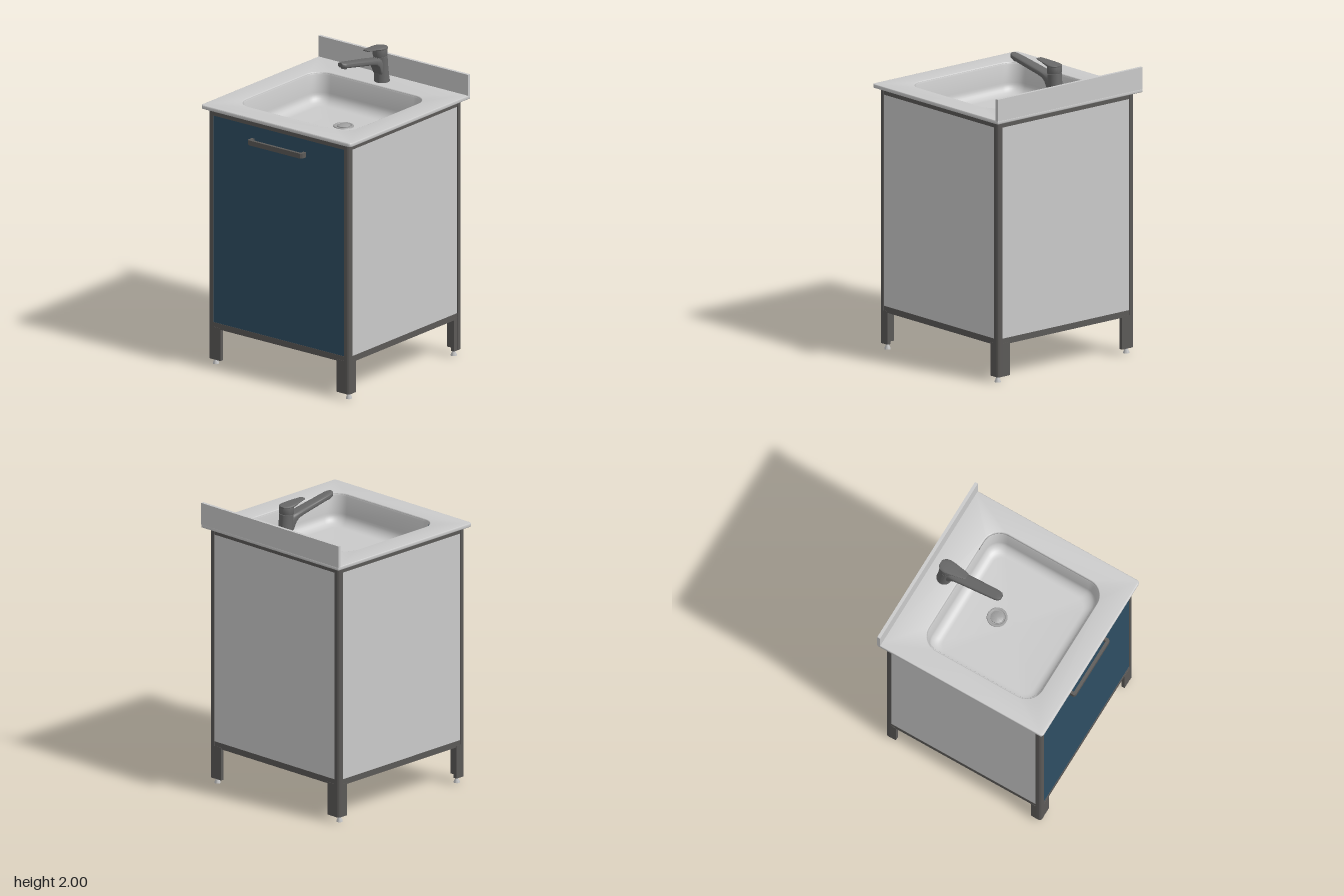
import * as THREE from 'three';
import { toCreasedNormals } from 'three/addons/utils/BufferGeometryUtils.js';

const paint = (name, color) => Object.assign(new THREE.MeshStandardMaterial({ color }), { name });

// Skin through rings of points, each running anticlockwise about the direction of travel
function loft(rings, capStart = true, capEnd = true) {
  const n = rings[0].length, pos = [];
  const tri = (...pts) => pts.forEach(p => pos.push(p.x, p.y, p.z));
  const centre = r => r.reduce((s, p) => s.add(p), new THREE.Vector3()).divideScalar(n);
  const last = rings[rings.length - 1], c0 = centre(rings[0]), c1 = centre(last);
  for (let j = 0; j < n; j++) {
    const k = (j + 1) % n;
    for (let i = 0; i + 1 < rings.length; i++) {
      const a = rings[i], b = rings[i + 1];
      tri(a[j], a[k], b[k]);
      tri(a[j], b[k], b[j]);
    }
    if (capStart) tri(c0, rings[0][k], rings[0][j]);
    if (capEnd) tri(c1, last[j], last[k]);
  }
  const g = new THREE.BufferGeometry();
  g.setAttribute('position', new THREE.Float32BufferAttribute(pos, 3));
  return toCreasedNormals(g, 0.7);
}

// Rounded rectangle outline with separate radii for the near (low y) and far corners
function roundedRect(Type, x0, x1, y0, y1, rLow, rHigh = rLow) {
  const s = new Type();
  s.moveTo(x0 + rLow, y0).lineTo(x1 - rLow, y0);
  s.absarc(x1 - rLow, y0 + rLow, rLow, -Math.PI / 2, 0);
  s.lineTo(x1, y1 - rHigh).absarc(x1 - rHigh, y1 - rHigh, rHigh, 0, Math.PI / 2);
  s.lineTo(x0 + rHigh, y1).absarc(x0 + rHigh, y1 - rHigh, rHigh, Math.PI / 2, Math.PI);
  s.lineTo(x0, y0 + rLow).absarc(x0 + rLow, y0 + rLow, rLow, Math.PI, Math.PI * 1.5);
  return s;
}

// Extrude a plan (shape y = -z) upwards from height y
function extrudeUp(shape, y, height, options = {}) {
  const g = new THREE.ExtrudeGeometry(shape, { depth: height, bevelEnabled: false, curveSegments: 10, ...options });
  return toCreasedNormals(g.rotateX(-Math.PI / 2).translate(0, y, 0), 0.6);
}

export function createModel() {
  const root = new THREE.Group();
  root.name = 'washbasinCabinet';
  const light = paint('light grey', 0xcacaca);
  const frame = paint('frame grey', 0x5b5957);
  const blue = paint('door blue', 0x2e4d63);
  const metal = paint('tap metal', 0x686868);
  const steel = paint('drain steel', 0xa0a0a0);

  const add = (name, geometry, material, parent = root) => {
    const m = new THREE.Mesh(geometry, material);
    m.name = name;
    parent.add(m);
    return m;
  };
  const box = (name, x0, x1, y0, y1, z0, z1, material, parent) =>
    add(name, new THREE.BoxGeometry(x1 - x0, y1 - y0, z1 - z0)
      .translate((x0 + x1) / 2, (y0 + y1) / 2, (z0 + z1) / 2), material, parent);

  // Corner posts with one rounded outer edge, angle legs and adjustable feet
  const E = 0.575, I = 0.536;
  const postPlan = new THREE.Shape();
  postPlan.moveTo(I, -I).lineTo(I, -E).lineTo(E - 0.02, -E);
  postPlan.absarc(E - 0.02, -E + 0.02, 0.02, -Math.PI / 2, 0);
  postPlan.lineTo(E, -I).closePath();
  const postGeo = extrudeUp(postPlan, 0.04, 1.684);
  const footGeo = toCreasedNormals(new THREE.LatheGeometry(
    [[0, 0], [0.02, 0], [0.02, 0.006], [0.011, 0.026], [0.011, 0.045]]
      .map(p => new THREE.Vector2(...p)), 20), 0.6);
  for (let k = 0; k < 4; k++) add('cornerPost', postGeo, frame).rotation.y = k * Math.PI / 2;
  for (const sx of [-1, 1]) for (const sz of [-1, 1]) {
    const leg = new THREE.Group();
    leg.name = 'leg';
    root.add(leg);
    const span = (s, a, b) => s > 0 ? [a, b] : [-b, -a];
    box('legWidePlate', ...span(sx, 0.474, I), 0.04, 0.26, ...span(sz, 0.55, E - 0.001), frame, leg);
    box('legSidePlate', ...span(sx, 0.55, E - 0.001), 0.04, 0.26, ...span(sz, 0.5, I), frame, leg);
    add('foot', footGeo, light, leg).position.set(sx * 0.543, 0, sz * 0.535);
  }

  // Four sides: rails above and below a panel; the front one is the door
  ['door', 'leftPanel', 'backPanel', 'rightPanel'].forEach((name, k) => {
    const side = new THREE.Group();
    side.name = name + 'Side';
    side.rotation.y = k * Math.PI / 2;
    root.add(side);
    box('bottomRail', -I, I, 0.25, 0.29, 0.535, 0.572, frame, side);
    box('topRail', -I, I, 1.684, 1.724, 0.535, 0.572, frame, side);
    box(name, -I, I, 0.29, 1.684, 0.54, 0.57, k ? light : blue, side);
  });
  box('cabinetFloor', -I, I, 0.255, 0.275, -I, I, frame);

  // Bow handle
  const handlePlan = new THREE.Shape();
  [[-0.222, -0.565], [-0.222, -0.608], [-0.21, -0.618], [0.21, -0.618], [0.222, -0.608], [0.222, -0.565],
    [0.2, -0.565], [0.2, -0.598], [-0.2, -0.598], [-0.2, -0.565]]
    .forEach(([x, y], i) => i ? handlePlan.lineTo(x, y) : handlePlan.moveTo(x, y));
  add('doorHandle', extrudeUp(handlePlan, 1.567, 0.033), frame);

  // Worktop with a softened edge and a basin opening
  const top = roundedRect(THREE.Shape, -0.612, 0.612, -0.607, 0.616, 0.022, 0.004);
  top.holes.push(roundedRect(THREE.Path, -0.456, 0.456, -0.446, 0.391, 0.116));
  add('worktop', extrudeUp(top, 1.73, 0.014, {
    bevelEnabled: true, bevelThickness: 0.006, bevelSize: 0.006, bevelOffset: -0.006, bevelSegments: 3
  }), light);
  box('backsplash', -0.612, 0.612, 1.745, 1.89, -0.616, -0.595, light);

  // Basin: steep walls curving into the floor, as [height, inset]
  const profile = [[1.744, 0], [1.736, 0.003], [1.62, 0.012]];
  for (let i = 1; i <= 8; i++) {
    const a = i / 8 * Math.PI / 2;
    profile.push([1.62 - 0.07 * Math.sin(a), 0.012 + 0.07 * (1 - Math.cos(a))]);
  }
  const basinRings = profile.map(([y, d]) => {
    const pts = [];
    const r = 0.11 - d * 0.6;
    for (let q = 0; q < 4; q++) for (let i = 0; i <= 8; i++) {
      const a = (q + i / 8) * Math.PI / 2;
      const sx = q < 2 ? 1 : -1, sz = q === 0 || q === 3 ? 1 : -1;
      pts.push(new THREE.Vector3(sx * (0.45 - d - r) + r * Math.sin(a), y,
        0.0275 + sz * (0.4125 - d - r) + r * Math.cos(a)));
    }
    return pts;
  });
  const basin = add('basin', loft(basinRings, false, true), light);
  basin.material = light;

  // Drain: flange ring with a raised plug
  const drain = new THREE.Group();
  drain.name = 'drain';
  drain.position.set(0, 1.55, -0.09);
  root.add(drain);
  const lathe = pts => toCreasedNormals(new THREE.LatheGeometry(pts.map(p => new THREE.Vector2(...p)), 40), 0.6);
  add('drainFlange', lathe([[0.067, 0], [0.064, 0.005], [0.054, 0.005], [0.05, 0.001], [0, 0.001]].slice()), steel, drain);
  add('drainPlug', lathe([[0.042, 0.001], [0.042, 0.006], [0.036, 0.009], [0, 0.01]]), steel, drain);

  // Mixer tap: leaning body, collar, spout, outlet and lever
  const tap = new THREE.Group();
  tap.name = 'tap';
  root.add(tap);
  const disc = (y, z, r, tilt = 0) => Array.from({ length: 32 }, (_, i) => {
    const a = i / 32 * Math.PI * 2;
    return new THREE.Vector3(r * Math.sin(a), y + tilt * r * Math.cos(a), z + r * Math.cos(a));
  });
  add('tapBody', loft([disc(1.748, -0.481, 0.051), disc(1.79, -0.477, 0.048),
    disc(1.86, -0.47, 0.046), disc(1.925, -0.464, 0.046, -0.1)]), metal, tap);
  add('tapCollar', loft([disc(1.928, -0.463, 0.046, -0.1), disc(1.934, -0.463, 0.048, -0.1),
    disc(1.974, -0.461, 0.048), disc(1.984, -0.461, 0.045)]), metal, tap);

  // Sections as [z, top, bottom, half width], softly squared
  const soft = (v, p) => Math.sign(v) * Math.abs(v) ** p;
  const sections = list => loft(list.map(([z, yTop, yBottom, w]) => Array.from({ length: 28 }, (_, i) => {
    const a = i / 28 * Math.PI * 2;
    return new THREE.Vector3(w * soft(Math.cos(a), 0.55),
      (yTop + yBottom) / 2 + (yTop - yBottom) / 2 * soft(Math.sin(a), 0.55), z);
  })));
  add('spout', sections([[-0.465, 1.915, 1.78, 0.036], [-0.43, 1.919, 1.81, 0.04], [-0.41, 1.921, 1.857, 0.041],
    [-0.385, 1.926, 1.882, 0.041], [-0.34, 1.935, 1.895, 0.04], [-0.2, 1.96, 1.922, 0.037],
    [-0.09, 1.979, 1.943, 0.034], [-0.068, 1.983, 1.948, 0.028], [-0.056, 1.984, 1.955, 0.016]]), metal, tap);
  const outlet = add('outlet', new THREE.CylinderGeometry(0.02, 0.02, 0.014, 24), metal, tap);
  outlet.position.set(0, 1.943, -0.095);
  outlet.rotation.x = -0.17;
  add('lever', sections([[-0.509, 1.984, 1.972, 0.022], [-0.49, 1.987, 1.97, 0.042], [-0.46, 1.99, 1.968, 0.048],
    [-0.42, 1.993, 1.974, 0.044], [-0.38, 1.995, 1.984, 0.036], [-0.325, 1.999, 1.991, 0.026],
    [-0.312, 2, 1.993, 0.02]]), metal, tap);
  return root;
}
